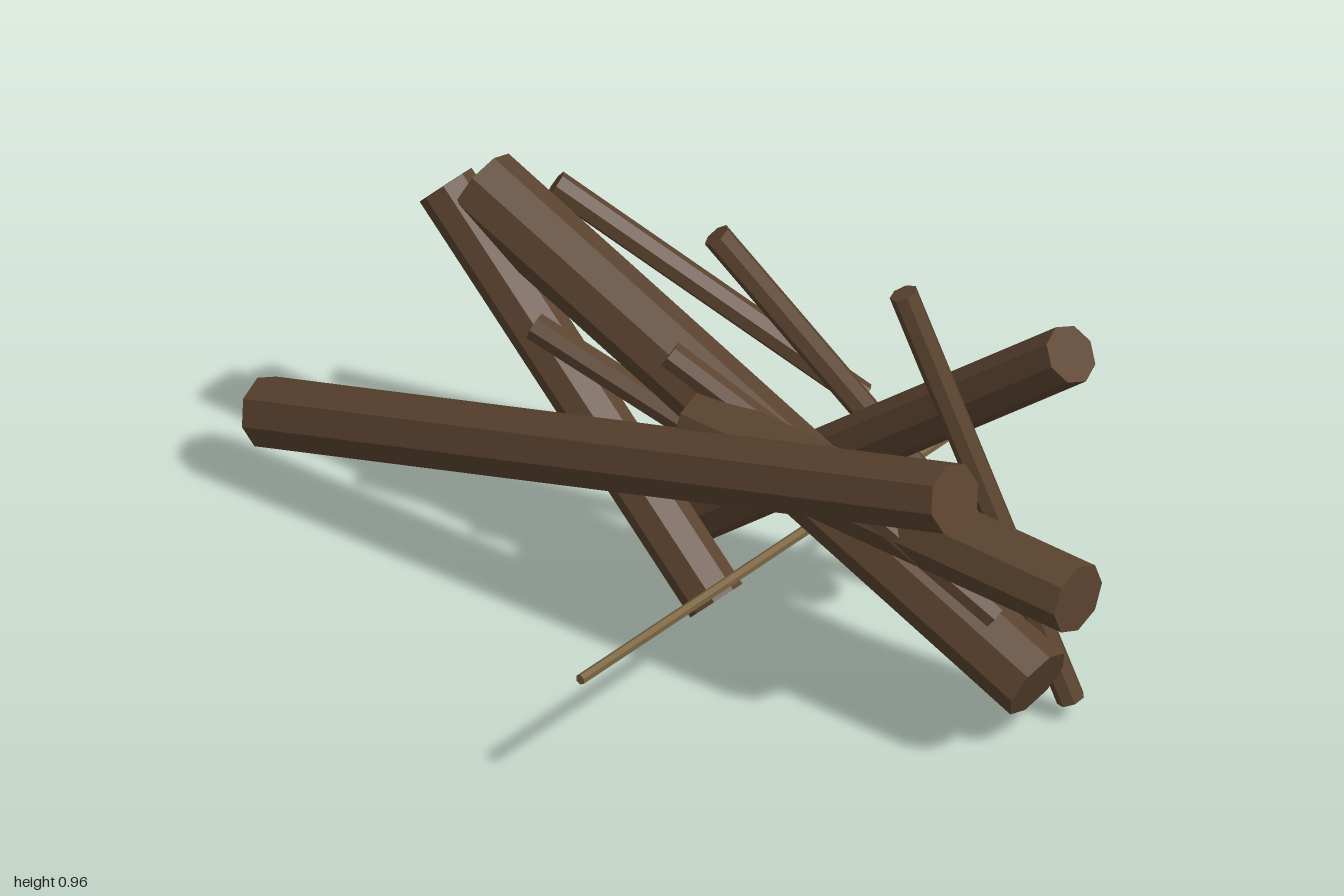
import * as THREE from 'three';

export function createModel() {
  const model = new THREE.Group();
  model.name = 'logPile';

  const bark = new THREE.MeshStandardMaterial({ color: 0x5c4430, flatShading: true });
  bark.name = 'brown bark';
  const dryWood = new THREE.MeshStandardMaterial({ color: 0x7a6442, flatShading: true });
  dryWood.name = 'dry wood';

  // A straight pole between two end centres
  function pole(name, from, to, radius, sides, material) {
    const a = new THREE.Vector3(...from);
    const b = new THREE.Vector3(...to);
    const dir = b.clone().sub(a);
    const mesh = new THREE.Mesh(new THREE.CylinderGeometry(radius, radius, dir.length(), sides), material);
    mesh.position.copy(a).add(b).multiplyScalar(0.5);
    mesh.quaternion.setFromUnitVectors(new THREE.Vector3(0, 1, 0), dir.normalize());
    mesh.name = name;
    model.add(mesh);
  }

  // Thick logs
  const logs = [
    ['frontLog', [-0.98, 0.167, 0.13], [0.755, 0.662, 0.13], 0.073],
    ['middleLog', [-0.606, 0.741, -0.082], [0.797, 0.145, -0.076], 0.08],
    ['steepLog', [-0.663, 0.738, -0.04], [0.024, 0.049, -0.033], 0.061],
    ['backLog', [-0.187, 0.078, -0.19], [0.79, 0.853, -0.19], 0.061],
    ['sideLog', [0.03, 0.496, 0.035], [0.997, 0.484, 0.045], 0.074],
  ];
  for (const [name, from, to, radius] of logs) pole(name, from, to, radius, 8, bark);

  // Thin branches
  const branches = [
    ['tallBranch', [0.495, 0.955, -0.033], [0.79, 0.05, -0.19]],
    ['leaningBranch', [-0.03, 0.845, -0.1], [0.43, 0.162, -0.37]],
    ['rearBranch', [-0.52, 0.715, -0.205], [0.03, 0.3, -0.485]],
    ['leftBranch', [-0.38, 0.56, 0.035], [-0.02, 0.4, -0.06]],
    ['innerBranch', [-0.04, 0.63, 0.033], [0.46, 0.31, -0.13]],
    ['rightBranch', [0.43, 0.62, 0.15], [0.765, 0.336, 0.015]],
  ];
  for (const [name, from, to] of branches) pole(name, from, to, 0.029, 7, bark);

  // Slender stick running from front to back
  pole('stick', [0.235, 0.294, 0.655], [0.245, 0.297, -0.655], 0.011, 6, dryWood);

  return model;
}
